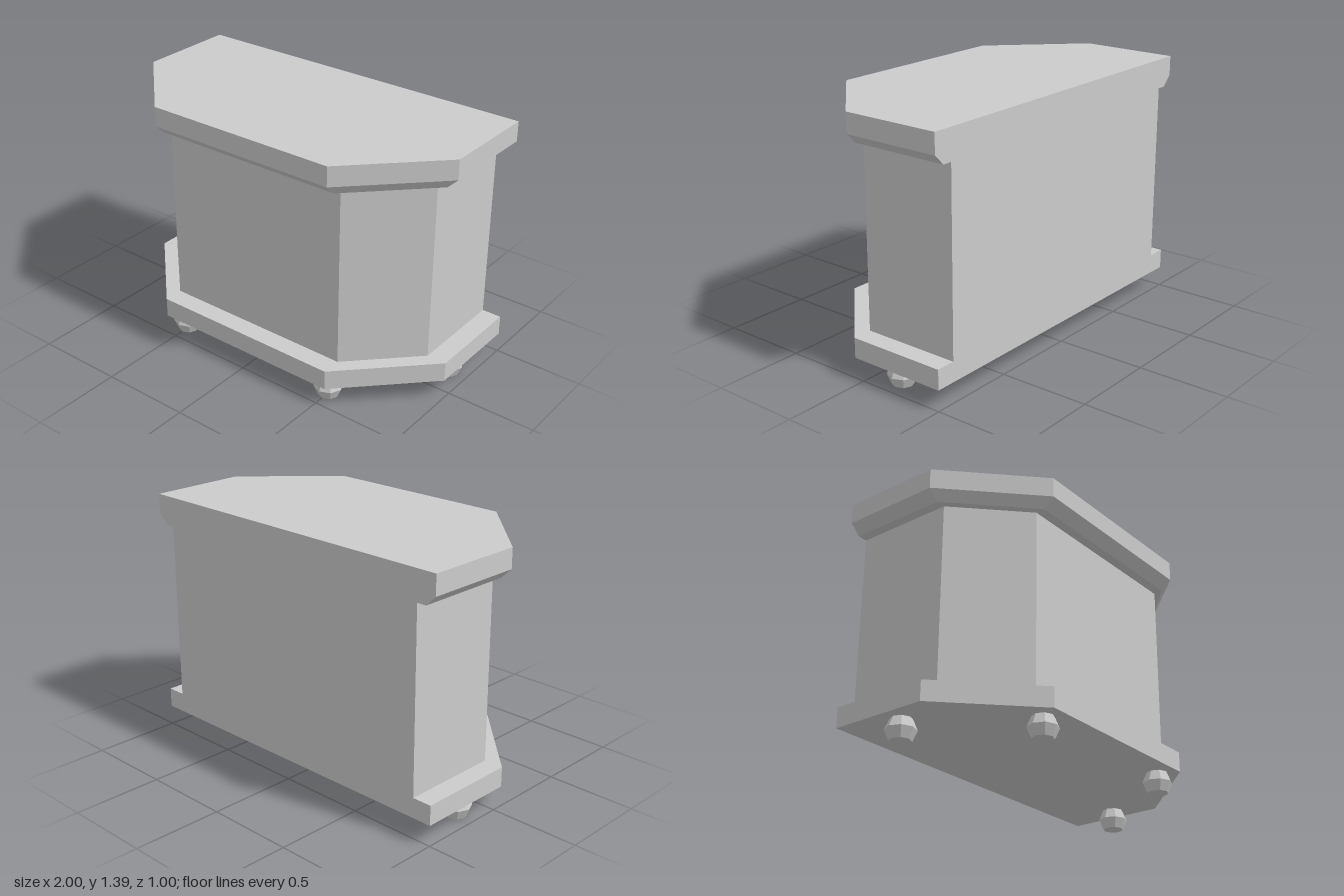
import * as THREE from 'three';

const BACK = -0.5, CORNER_X = 0.555, CORNER_Z = 0.055;

// Footprint with a flat back and two chamfered front corners
function outline(halfWidth, front) {
  return [
    [-halfWidth, BACK], [-halfWidth, CORNER_Z], [-CORNER_X, front],
    [CORNER_X, front], [halfWidth, CORNER_Z], [halfWidth, BACK],
  ];
}

// Closed solid lofted between footprints, given as [y, halfWidth, front] from bottom to top
function loft(levels) {
  const rings = levels.map(([y, w, f]) => outline(w, f).map(([x, z]) => [x, y, z]));
  const n = rings[0].length, pos = [];
  const tri = (a, b, c) => pos.push(...a, ...b, ...c);
  for (let k = 0; k < rings.length - 1; k++) {
    const lo = rings[k], hi = rings[k + 1];
    for (let i = 0; i < n; i++) {
      const j = (i + 1) % n;
      tri(lo[i], lo[j], hi[j]);
      tri(lo[i], hi[j], hi[i]);
    }
  }
  const bottom = rings[0], top = rings[rings.length - 1];
  for (let i = 1; i < n - 1; i++) {
    tri(bottom[0], bottom[i + 1], bottom[i]);
    tri(top[0], top[i], top[i + 1]);
  }
  const geo = new THREE.BufferGeometry();
  geo.setAttribute('position', new THREE.Float32BufferAttribute(pos, 3));
  geo.computeVertexNormals();
  return geo;
}

export function createModel() {
  const group = new THREE.Group();
  const material = new THREE.MeshStandardMaterial({ color: 0xcccccc, flatShading: true });
  const add = (name, geo) => {
    const mesh = new THREE.Mesh(geo, material);
    mesh.name = name;
    group.add(mesh);
    return mesh;
  };

  add('basePlinth', loft([[0.113, 1, 0.5], [0.223, 1, 0.5]]));
  add('cabinetBody', loft([[0.223, 0.89, 0.39], [1.225, 0.89, 0.39]]));

  // Top slab with a bevelled underside
  add('topSlab', loft([[1.225, 0.943, 0.443], [1.28, 1, 0.5], [1.39, 1, 0.5]]));

  // Faceted bun feet
  const profile = [[0, 0], [0.057, 0], [0.081, 0.056], [0.057, 0.113], [0, 0.113]]
    .map(([r, y]) => new THREE.Vector2(r, y));
  const footGeo = new THREE.LatheGeometry(profile, 8);
  for (const side of [-1, 1]) {
    const label = side > 0 ? 'left' : 'right';
    add(label + 'FrontFoot', footGeo).position.set(side * 0.5, 0, 0.39);
    add(label + 'RearFoot', footGeo).position.set(side * 0.89, 0, -0.167);
  }
  return group;
}
